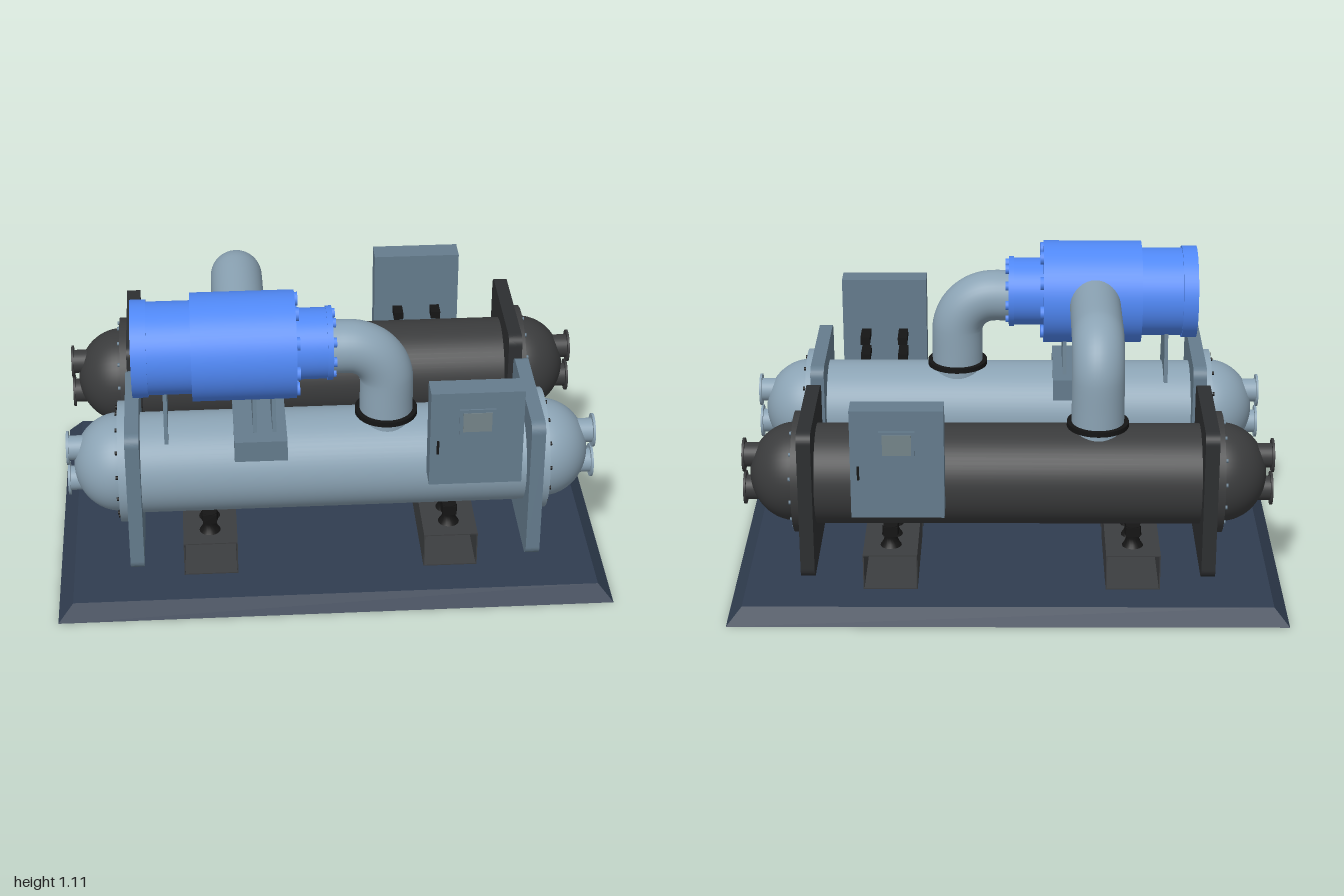
import * as THREE from 'three';

const mat = (color, side = THREE.FrontSide) => new THREE.MeshStandardMaterial({ color, side });
const M = {
  steel: mat(0x8ba3b4), plate: mat(0x657c8d), dark: mat(0x3a3b3c), darkPlate: mat(0x2d2f31),
  black: mat(0x151515), blue: mat(0x5088f5), base: mat(0x303d50), foot: mat(0x3c3e40, THREE.DoubleSide),
  screen: mat(0x75858a),
};

function add(parent, name, geometry, material, x = 0, y = 0, z = 0) {
  const mesh = new THREE.Mesh(geometry, material);
  mesh.name = name;
  mesh.position.set(x, y, z);
  parent.add(mesh);
  return mesh;
}

function group(parent, name, x = 0, y = 0, z = 0) {
  const g = new THREE.Group();
  g.name = name;
  g.position.set(x, y, z);
  parent.add(g);
  return g;
}

const box = (w, h, d) => new THREE.BoxGeometry(w, h, d);
// Cylinder lying along x from x0 to x1
const cylX = (r, x0, x1, seg = 48) =>
  new THREE.CylinderGeometry(r, r, x1 - x0, seg).rotateZ(-Math.PI / 2).translate((x0 + x1) / 2, 0, 0);

// Ring of bolt heads around the x axis, starting at an angle from the top
function boltRing(parent, name, count, ringR, r, x0, x1, material, start) {
  const geo = cylX(r, x0, x1, 14);
  for (let i = 0; i < count; i++) {
    const a = start + i * 2 * Math.PI / count;
    add(parent, name, geo, material, 0, ringR * Math.cos(a), ringR * Math.sin(a));
  }
}

function roundedRect(w, h, r) {
  const s = new THREE.Shape(), a = w / 2, b = h / 2;
  s.moveTo(-a + r, -b);
  s.lineTo(a - r, -b).absarc(a - r, -b + r, r, -Math.PI / 2, 0);
  s.lineTo(a, b - r).absarc(a - r, b - r, r, 0, Math.PI / 2);
  s.lineTo(-a + r, b).absarc(-a + r, b - r, r, Math.PI / 2, Math.PI);
  s.lineTo(-a, -b + r).absarc(-a + r, -b + r, r, Math.PI, Math.PI * 1.5);
  return s;
}

// Outline in (z, y) extruded along x, centred on x
const plateX = (shape, t) =>
  new THREE.ExtrudeGeometry(shape, { depth: t, bevelEnabled: false, curveSegments: 8 })
    .translate(0, 0, -t / 2).rotateY(-Math.PI / 2);

// Horizontal shell with tube plates, domed heads and water nozzles
function vessel(parent, name, z, shellMat, plateMat, boltMat) {
  const g = group(parent, name, 0, 0.448, z);
  add(g, 'shell', cylX(0.181, -0.7, 0.7, 64), shellMat);
  const tubePlate = plateX(roundedRect(0.49, 0.56, 0.04), 0.05);
  const dome = new THREE.SphereGeometry(0.178, 48, 16, 0, Math.PI * 2, 0, Math.PI / 2)
    .scale(1, 0.165 / 0.178, 1).rotateZ(-Math.PI / 2);
  for (const turn of [0, Math.PI]) {
    const end = group(g, 'vesselEnd');
    end.rotation.y = turn;
    add(end, 'tubePlate', tubePlate, plateMat, 0.711, -0.026, 0);
    add(end, 'headFlange', cylX(0.218, 0.735, 0.765, 56), shellMat, 0, 0.007, 0);
    add(end, 'domedHead', dome, shellMat, 0.762, 0.007, 0);
    const bolts = group(end, 'headBolts', 0, 0.007, 0);
    boltRing(bolts, 'headBolt', 14, 0.196, 0.007, 0.76, 0.774, boltMat, 0.05);
    for (const y of [0.072, -0.057]) {
      add(end, 'waterNozzle', cylX(0.044, 0.84, 0.945, 32), shellMat, 0, y, 0);
      add(end, 'nozzleFlange', cylX(0.061, 0.943, 0.951, 40), shellMat, 0, y, 0);
    }
  }
}

// Open box-section foot with a waisted saddle under the shell
function foot(parent, x, z, shellZ) {
  const g = group(parent, 'foot', x, 0, z);
  const [w, h, d, t] = [0.195, 0.135, 0.455, 0.004];
  for (const s of [-1, 1]) {
    add(g, 'footWall', box(t, h, d), M.foot, s * (w - t) / 2, 0.138, 0);
    add(g, 'footSkin', box(w, t, d), M.foot, 0, 0.138 + s * (h - t) / 2, 0);
  }
  const profile = [[0.04, 0], [0.03, 0.015], [0.022, 0.035], [0.03, 0.05], [0.03, 0.085]]
    .map(p => new THREE.Vector2(...p));
  const post = new THREE.LatheGeometry(profile, 20);
  for (const dz of [-0.09, 0, 0.09])
    add(g, 'saddlePost', post, M.black, 0, 0.203, shellZ - z + dz);
  add(g, 'saddleBar', box(0.05, 0.035, 0.24), M.black, 0, 0.268, shellZ - z);
}

// Horizontal run, quarter bend, then straight drop
function elbowPipe(parent, name, start, corner, bottomY, bend, r) {
  const dir = corner.clone().sub(start).normalize();
  const a = corner.clone().addScaledVector(dir, -bend);
  const b = corner.clone().add(new THREE.Vector3(0, -bend, 0));
  const centre = a.clone().add(new THREE.Vector3(0, -bend, 0));
  const pts = [start, start.clone().lerp(a, 0.5)];
  for (let i = 0; i <= 8; i++) {
    const t = i / 8 * Math.PI / 2;
    pts.push(centre.clone().addScaledVector(dir, bend * Math.sin(t)).add(new THREE.Vector3(0, bend * Math.cos(t), 0)));
  }
  const end = new THREE.Vector3(b.x, bottomY, b.z);
  pts.push(b.clone().lerp(end, 0.5), end);
  const g = group(parent, name);
  add(g, 'pipe', new THREE.TubeGeometry(new THREE.CatmullRomCurve3(pts), 56, r, 36), M.steel);
  add(g, 'pipeCollar', new THREE.CylinderGeometry(r + 0.017, r + 0.017, 0.018, 40), M.black, end.x, 0.64, end.z);
}

// Wall panel facing +z, with display and brackets behind
function controlPanel(parent, x, y, z, h, turn, shellGap) {
  const g = group(parent, 'controlPanel', x, y, z);
  g.rotation.y = turn;
  add(g, 'panelBox', box(0.325, h, 0.088), M.plate);
  add(g, 'displayFrame', box(0.125, 0.1, 0.008), M.plate, 0, h * 0.19, 0.046);
  add(g, 'display', box(0.1, 0.075, 0.008), M.screen, 0, h * 0.19, 0.0485);
  add(g, 'panelHandle', box(0.008, 0.05, 0.008), M.black, -0.135, -0.03, 0.047);
  for (const s of [-1, 1])
    for (const dy of [-0.1, -0.03])
      add(g, 'panelBracket', box(0.036, 0.03, shellGap), M.black, s * 0.072, dy, -0.044 - shellGap / 2);
}

export function createModel() {
  const model = new THREE.Group();
  model.name = 'waterChiller';

  // Base slab with sloping sides
  const slab = box(2, 0.062, 1.29);
  const p = slab.attributes.position;
  for (let i = 0; i < p.count; i++)
    if (p.getY(i) > 0) p.setXYZ(i, p.getX(i) * 0.945, p.getY(i), p.getZ(i) * 0.945);
  slab.computeVertexNormals();
  add(model, 'base', slab, M.base, 0, 0.031, 0);

  // Two vessels and their feet
  vessel(model, 'frontVessel', 0.295, M.steel, M.plate, M.black);
  vessel(model, 'rearVessel', -0.311, M.dark, M.darkPlate, M.plate);
  for (const x of [-0.448, 0.422]) {
    foot(model, x, 0.247, 0.295);
    foot(model, x, -0.263, -0.311);
  }

  // Compressor body in stepped sections
  const comp = group(model, 'compressor', 0, 0.922, 0.295);
  const sections = [
    ['endCover', 0.172, -0.703, -0.648], ['motorHousing', 0.164, -0.65, -0.49],
    ['mainHousing', 0.191, -0.495, -0.13], ['dischargeHousing', 0.126, -0.135, -0.018],
    ['dischargeFlange', 0.131, -0.02, 0],
  ];
  for (const [name, r, x0, x1] of sections) add(comp, name, cylX(r, x0, x1, 56), M.blue);
  boltRing(comp, 'housingBolt', 9, 0.16, 0.024, -0.135, -0.118, M.blue, Math.PI / 9);
  boltRing(comp, 'flangeBolt', 9, 0.106, 0.017, -0.01, 0.012, M.blue, Math.PI / 9);

  // Compressor supports
  const web = new THREE.Shape([[-0.125, 0.6], [0.125, 0.6], [0.08, 0.8], [-0.08, 0.8]]
    .map(q => new THREE.Vector2(...q)));
  const webGeo = plateX(web, 0.014);
  const supports = group(model, 'compressorSupports', 0, 0, 0.295);
  for (const x of [-0.592, -0.278, -0.21]) add(supports, 'supportWeb', webGeo, M.plate, x, 0, 0);
  add(supports, 'supportSaddle', box(0.187, 0.08, 0.36), M.plate, -0.26, 0.592, 0);

  // Pipes from the compressor to each vessel
  const V = (x, y, z) => new THREE.Vector3(x, y, z);
  elbowPipe(model, 'dischargePipe', V(-0.01, 0.906, 0.295), V(0.195, 0.906, 0.295), 0.6, 0.14, 0.095);
  elbowPipe(model, 'suctionPipe', V(-0.32, 0.93, 0.25), V(-0.32, 0.93, -0.3), 0.6, 0.13, 0.094);

  // Control panels, one on each long side
  controlPanel(model, 0.483, 0.7, 0.561, 0.37, 0, 0.1);
  controlPanel(model, 0.383, 0.615, -0.567, 0.402, Math.PI, 0.06);

  return model;
}
